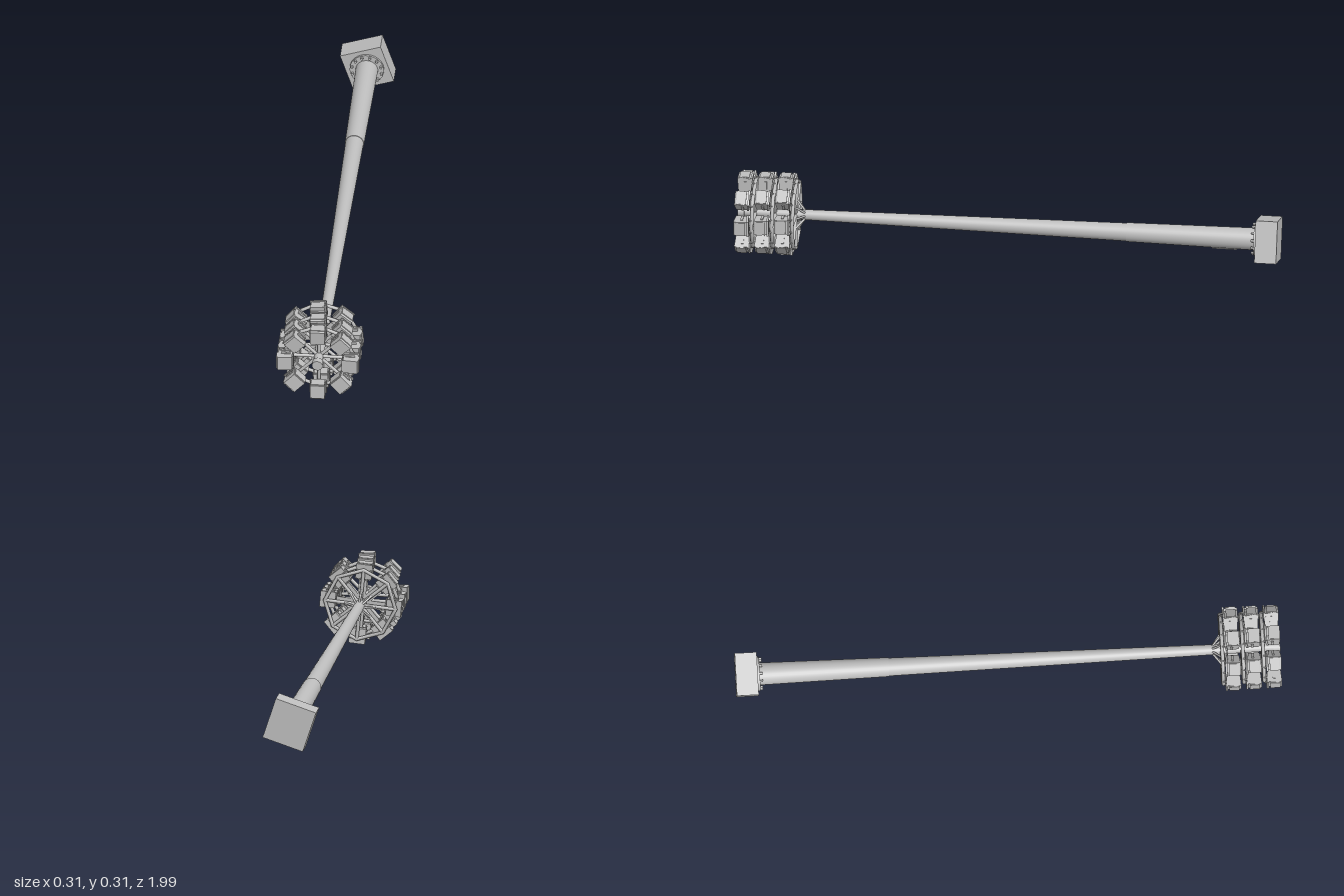
import * as THREE from 'three';

export function createModel() {
  const model = new THREE.Group();
  model.name = 'floodlightMast';
  const steel = new THREE.MeshStandardMaterial({ color: 0xbfbfbf });
  steel.name = 'galvanised grey';

  const add = (parent, name, geometry, x = 0, y = 0, z = 0) => {
    const mesh = new THREE.Mesh(geometry, steel);
    mesh.name = name;
    mesh.position.set(x, y, z);
    parent.add(mesh);
    return mesh;
  };
  // Round bar between two points
  const bar = (parent, name, a, b, r0, r1 = r0, sides = 8) => {
    const from = new THREE.Vector3(...a), to = new THREE.Vector3(...b);
    const dir = to.clone().sub(from);
    const mesh = add(parent, name, new THREE.CylinderGeometry(r1, r0, dir.length(), sides));
    mesh.position.copy(from).add(to).multiplyScalar(0.5);
    mesh.quaternion.setFromUnitVectors(new THREE.Vector3(0, 1, 0), dir.normalize());
    return mesh;
  };
  // Side profile extruded across a centred width, laid out as radial x, width y, axial z
  const profile = (points, width) => {
    const shape = new THREE.Shape(points.map(([x, z]) => new THREE.Vector2(x, z)));
    const g = new THREE.ExtrudeGeometry(shape, { depth: width, bevelEnabled: false });
    return g.translate(0, 0, -width / 2).rotateX(Math.PI / 2);
  };

  // Everything is laid out round the mast axis, which runs along z
  const mast = new THREE.Group();
  mast.name = 'mast';
  mast.position.y = 0.154;
  model.add(mast);

  // Foundation and anchor plate, turned a little about the axis
  const base = new THREE.Group();
  base.name = 'base';
  base.rotation.z = 0.32;
  base.position.y = 0.004;
  mast.add(base);
  add(base, 'foundationBlock', new THREE.BoxGeometry(0.156, 0.156, 0.08), 0, 0, -0.96);
  bar(base, 'anchorPlate', [0, 0, -0.921], [0, 0, -0.912], 0.063, 0.063, 24);
  for (let i = 0; i < 12; i++) {
    const a = i * Math.PI / 6, c = Math.cos(a), s = Math.sin(a);
    bar(base, 'anchorBolt', [c * 0.055, s * 0.055, -0.913], [c * 0.055, s * 0.055, -0.902], 0.005, 0.005, 6);
  }

  // Tapered pole in two overlapping sections
  bar(mast, 'lowerPole', [0, 0.004, -0.92], [0, 0.003, -0.44], 0.041, 0.035, 32);
  bar(mast, 'upperPole', [0, 0.003, -0.46], [0, 0, 0.985], 0.0335, 0.016, 32);
  add(mast, 'accessDoor', new THREE.BoxGeometry(0.024, 0.004, 0.09), 0, -0.0365, -0.8);
  bar(mast, 'poleCap', [0, 0, 0.965], [0, 0, 0.99], 0.0195, 0.0195, 24);

  // One floodlight: housing, sloping lens rim, cooling ribs and yoke
  const housing = profile([[0.095, -0.018], [0.145, -0.024], [0.151, 0.012], [0.145, 0.025], [0.093, 0.021]], 0.054);
  const rim = profile([[0.094, -0.026], [0.15, -0.031], [0.151, -0.024], [0.094, -0.018]], 0.06);
  const rib = new THREE.BoxGeometry(0.003, 0.05, 0.036);
  const cheek = new THREE.BoxGeometry(0.034, 0.003, 0.009);
  const lamp = (parent) => {
    const g = new THREE.Group();
    g.name = 'floodlight';
    add(g, 'lampHousing', housing);
    add(g, 'lensRim', rim);
    for (const x of [0.09, 0.15]) add(g, 'coolingRib', rib, x, 0, 0);
    for (const s of [-1, 1]) {
      add(g, 'yokeArm', cheek, 0.118, s * 0.03, -0.004);
      bar(g, 'yokePost', [0.128, s * 0.024, -0.025], [0.128, s * 0.024, -0.04], 0.003, 0.003, 6);
    }
    parent.add(g);
  };

  // Three tiers, each an octagonal ring on spokes carrying eight floodlights
  const tiers = [[0.964, 0], [0.89, 0.05], [0.815, 0.1]];
  tiers.forEach(([z, turn], t) => {
    const tier = new THREE.Group();
    tier.name = 'lampTier';
    tier.position.z = z;
    tier.rotation.z = turn;
    mast.add(tier);
    add(tier, 'carrierRing', new THREE.TorusGeometry(0.131, 0.007, 8, 8), 0, 0, -0.039);
    for (let i = 0; i < 8; i++) {
      const arm = new THREE.Group();
      arm.name = 'lampArm';
      arm.rotation.z = i * Math.PI / 4;
      tier.add(arm);
      bar(arm, 'spoke', [0.01, 0, -0.039], [0.131, 0, -0.039], 0.0065);
      lamp(arm);
      // Lowest tier has braces back to the pole and gusset plates
      if (t === 2) {
        bar(arm, 'brace', [0.012, 0, -0.075], [0.06, 0, -0.039], 0.004);
        const plate = profile([[0.02, -0.002], [0.088, -0.002], [0.088, 0.002], [0.02, 0.002]], 0.03);
        add(arm, 'gussetPlate', plate, 0, 0, -0.02);
      }
    }
  });

  return model;
}
